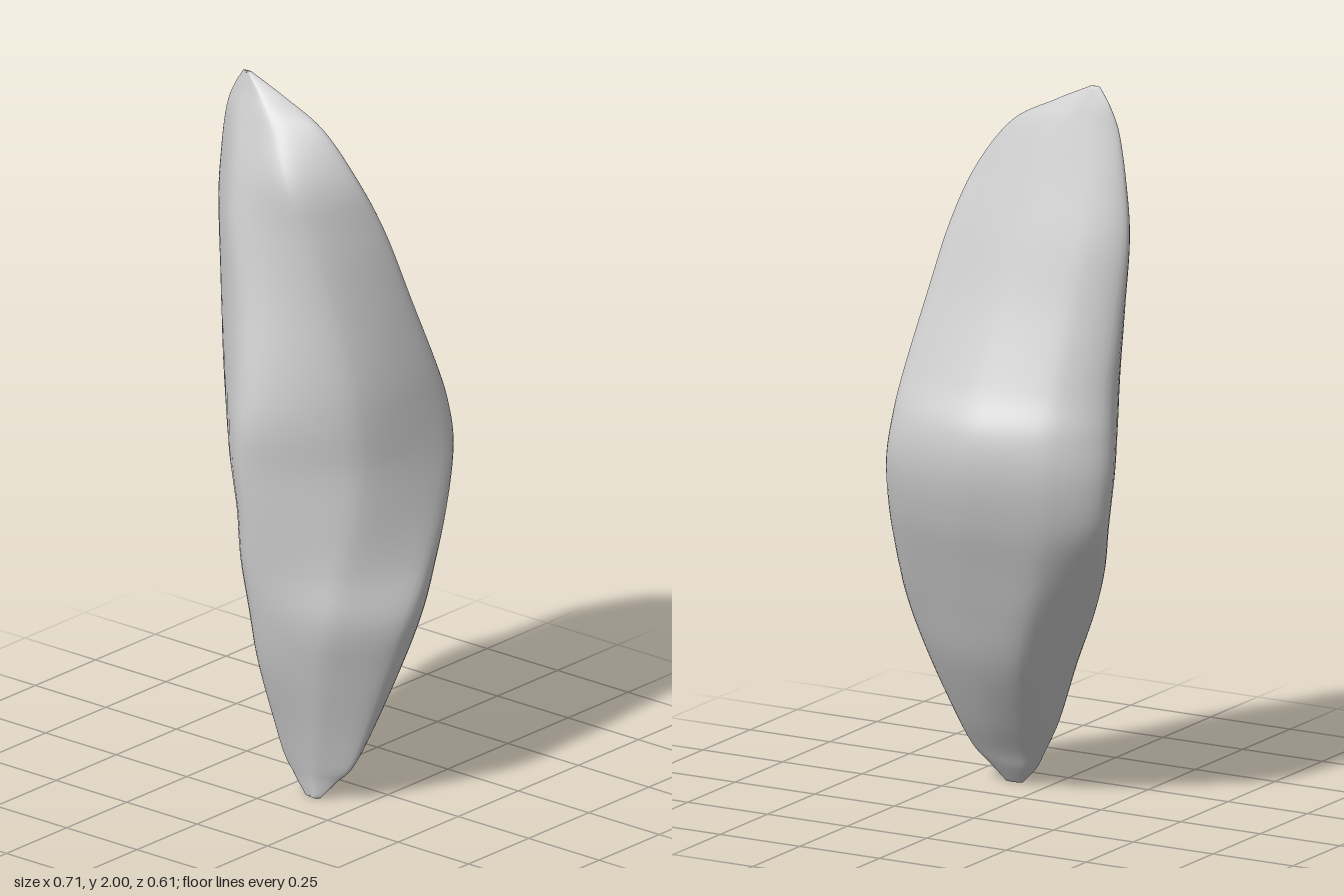
import * as THREE from 'three';

// Level: y, front ridge x z, left edge x z, right edge x z, back face z
const LEVELS = [
  [0.00, 0.10, 0.147, 0.08, 0.142, 0.13, 0.14, 0.135],
  [0.05, 0.06, 0.15, 0.03, 0.13, 0.17, 0.125, 0.10],
  [0.10, 0.03, 0.16, 0.00, 0.115, 0.215, 0.115, 0.07],
  [0.20, 0.02, 0.187, -0.06, 0.09, 0.257, 0.10, 0.003],
  [0.38, 0.01, 0.24, -0.145, 0.035, 0.315, 0.075, -0.10],
  [0.54, 0.01, 0.27, -0.23, -0.015, 0.354, 0.035, -0.168],
  [0.68, 0.00, 0.287, -0.295, -0.07, 0.342, -0.055, -0.225],
  [0.82, 0.00, 0.297, -0.34, -0.125, 0.322, -0.135, -0.277],
  [0.96, -0.01, 0.304, -0.357, -0.13, 0.30, -0.19, -0.306],
  [1.08, -0.01, 0.302, -0.35, -0.11, 0.282, -0.19, -0.296],
  [1.20, -0.02, 0.28, -0.338, -0.08, 0.265, -0.165, -0.24],
  [1.40, -0.06, 0.235, -0.336, -0.035, 0.23, -0.105, -0.16],
  [1.60, -0.12, 0.195, -0.336, 0.00, 0.19, -0.045, -0.093],
  [1.75, -0.15, 0.155, -0.312, 0.025, 0.14, 0.01, -0.042],
  [1.88, -0.18, 0.105, -0.28, 0.045, 0.045, 0.035, 0.003],
  [1.95, -0.19, 0.077, -0.25, 0.05, -0.08, 0.045, 0.03],
  [2.00, -0.20, 0.06, -0.215, 0.055, -0.185, 0.055, 0.05],
];
const RING = 64;
const STEPS = 96;

// Smooth swelling centred on a height
const swell = (y, centre, spread) => Math.exp(-(((y - centre) / spread) ** 2));

// Eight corners of one cross-section, counter-clockwise from the front ridge
function section([y, fx, fz, lx, lz, rx, rz, bz]) {
  const width = rx - lx;
  const mix = THREE.MathUtils.lerp;
  const backPoint = (t, depth) => [mix(rx, lx, t), mix(mix(rz, lz, t), bz, depth)];
  // Point halfway along a front face, pushed outwards
  const facePoint = (ax, az, bx, bz2, bulge) => {
    const dx = bx - ax, dz = bz2 - az, len = Math.hypot(dx, dz);
    return [(ax + bx) / 2 - (dz / len) * bulge * width, (az + bz2) / 2 + (dx / len) * bulge * width];
  };
  return [
    [fx, fz],
    facePoint(fx, fz, rx, rz, 0.115 + 0.05 * swell(y, 1.15, 0.5) + 0.05 * swell(y, 1.72, 0.15)),
    [rx, rz],
    backPoint(0.12, 0.7),
    backPoint(0.46, 1),
    backPoint(0.81, 0.68 + 0.28 * swell(y, 0.45, 0.32)),
    [lx, lz],
    facePoint(lx, lz, fx, fz, 0.03 + 0.06 * swell(y, 1.25, 0.32)),
  ].map(([x, z]) => new THREE.Vector3(x, y, z));
}

function shardGeometry() {
  // Rails run from tip to tip through matching corners
  const sections = LEVELS.map(section);
  const rails = sections[0].map((_, k) =>
    new THREE.CatmullRomCurve3(sections.map((s) => s[k]), false, 'catmullrom', 0.5));
  const positions = [], indices = [];
  for (let i = 0; i <= STEPS; i++) {
    const corners = rails.map((rail) => rail.getPoint(i / STEPS));
    const ring = new THREE.CatmullRomCurve3(corners, true, 'catmullrom', 0.4);
    for (let j = 0; j < RING; j++) positions.push(...ring.getPoint(j / RING).toArray());
  }
  for (let i = 0; i < STEPS; i++) {
    for (let j = 0; j < RING; j++) {
      const a = i * RING + j, b = i * RING + ((j + 1) % RING);
      indices.push(a, b, b + RING, a, b + RING, a + RING);
    }
  }
  // Close both tips
  const top = STEPS * RING;
  for (let j = 1; j < RING - 1; j++) {
    indices.push(0, j + 1, j, top, top + j, top + j + 1);
  }
  const geometry = new THREE.BufferGeometry();
  geometry.setAttribute('position', new THREE.Float32BufferAttribute(positions, 3));
  geometry.setIndex(indices);
  geometry.computeVertexNormals();
  return geometry;
}

export function createModel() {
  const group = new THREE.Group();
  group.name = 'rock';
  const shard = new THREE.Mesh(shardGeometry(), new THREE.MeshStandardMaterial({ color: 0xcccccc }));
  shard.name = 'rockShard';
  group.add(shard);
  return group;
}
